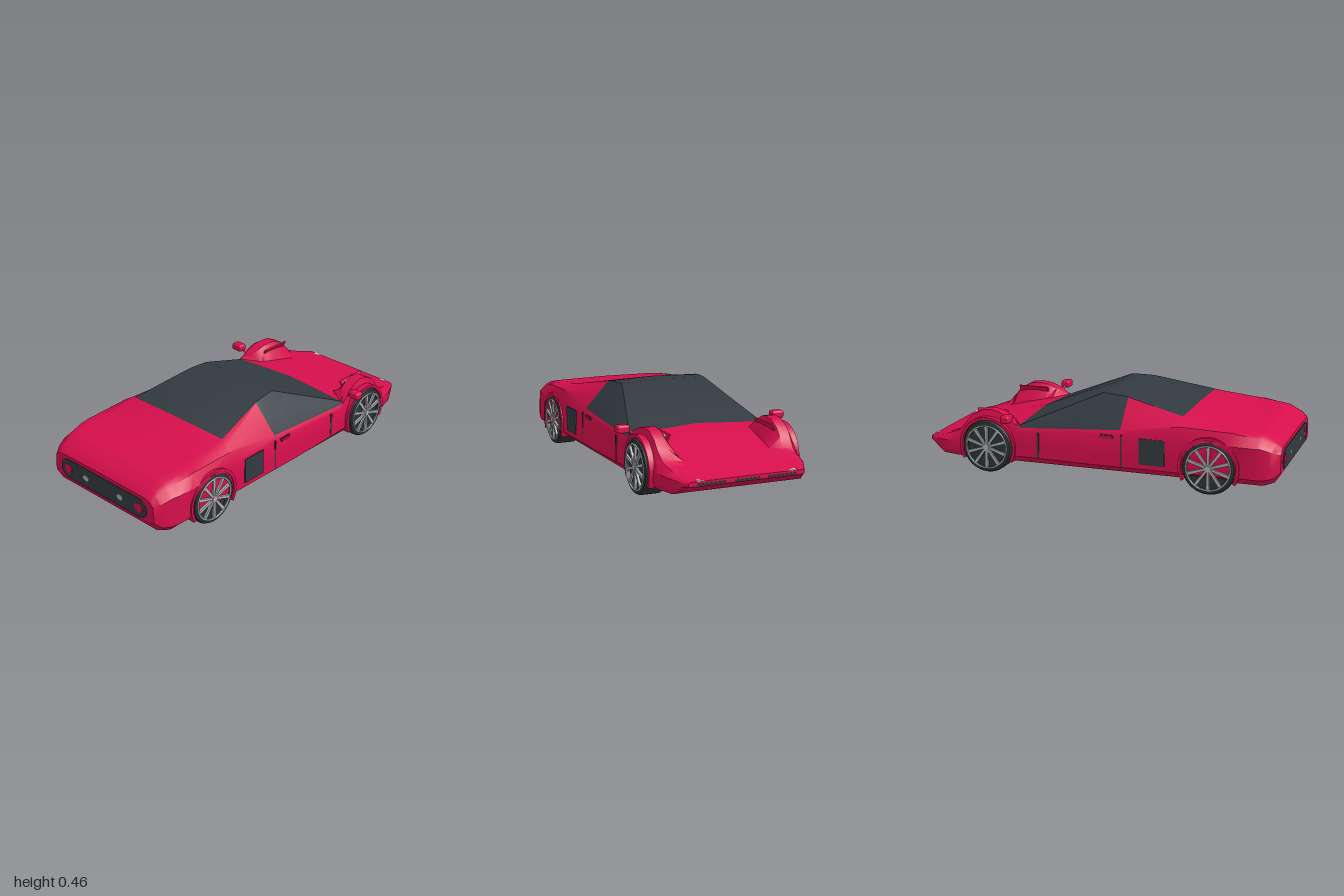
import * as THREE from 'three';
import { toCreasedNormals } from 'three/addons/utils/BufferGeometryUtils.js';
import { RoundedBoxGeometry } from 'three/addons/geometries/RoundedBoxGeometry.js';

const material = (name, color) => Object.assign(new THREE.MeshStandardMaterial({ color }), { name });
const paint = material('crimson paint', 0xd60f4c);
const glass = material('dark glass and trim', 0x323a40);
const rubber = material('tyre rubber', 0x2b3236);
const alloy = material('alloy', 0xa9adaf);
const lamp = material('lamp white', 0xf2f2f2);

// Lengthwise curves as [x, value]; the car points along +x
const curves = {
  bottomY: [[-1, .13], [-.97, .085], [-.92, .07], [.9, .07], [.95, .095], [1, .122]],
  bottomZ: [[-1, .35], [-.9, .39], [.8, .385], [.9, .36], [1, .31]],
  waistZ: [[-1, .375], [-.95, .41], [-.88, .427], [-.8, .425], [0, .425], [.4, .412], [.5, .405], [.8, .403], [.88, .385], [.97, .338], [1, .32]],
  waistY: [[-1, .17], [.8, .16], [1, .136]],
  shoulderZ: [[-1, .37], [-.95, .405], [-.88, .43], [-.8, .435], [-.5, .43], [-.15, .42], [.43, .408], [.6, .4], [.8, .39], [.9, .365], [1, .318]],
  shoulderY: [[-1, .235], [-.9, .27], [-.5, .28], [-.15, .27], [.43, .235], [.48, .24], [.6, .29], [.72, .26], [.8, .185], [.9, .16], [1, .142]],
  crestZ: [[-1, .35], [-.9, .38], [-.8, .4], [-.47, .405], [-.15, .405], [.43, .4], [.5, .39], [.6, .375], [.75, .375], [.85, .36], [1, .31]],
  crestY: [[-1, .255], [-.97, .285], [-.9, .31], [-.75, .335], [-.47, .345], [-.15, .3], [.43, .26], [.47, .287], [.5, .31], [.55, .333], [.6, .342], [.66, .335], [.72, .303], [.76, .255], [.8, .21], [.9, .172], [1, .146]],
  innerCrestZ: [[-1, .33], [-.9, .35], [-.47, .37], [-.15, .338], [0, .326], [.43, .393], [.5, .33], [.6, .315], [.75, .315], [.85, .3], [1, .28]],
  innerCrestY: [[-1, .262], [-.97, .29], [-.9, .325], [-.75, .345], [-.47, .366], [-.15, .375], [0, .373], [.43, .266], [.47, .29], [.5, .31], [.55, .333], [.6, .342], [.66, .335], [.72, .303], [.76, .255], [.8, .21], [.9, .173], [1, .147]],
  roofEdgeZ: [[-1, .28], [-.9, .3], [-.47, .33], [-.15, .27], [0, .25], [.43, .385], [.5, .27], [.8, .25], [1, .22]],
  roofEdgeY: [[-1, .265], [-.97, .295], [-.9, .328], [-.7, .352], [-.47, .383], [-.15, .447], [-.1, .453], [0, .455], [.43, .272], [.5, .268], [.65, .235], [.8, .198], [.9, .172], [1, .147]],
  centreY: [[-1, .268], [-.97, .298], [-.9, .332], [-.7, .355], [-.47, .387], [-.15, .455], [-.1, .465], [0, .463], [.43, .297], [.5, .28], [.65, .24], [.8, .2], [.9, .175], [1, .148]],
};

function at(points, x) {
  const i = Math.max(1, points.findIndex(p => p[0] >= x - 1e-6));
  const [a, b] = [points[i - 1], points[i]];
  return a[1] + (b[1] - a[1]) * (x - a[0]) / (b[0] - a[0]);
}

// Body shell: mirrored cross-sections joined along x, glazed over the cabin
function bodyGeometry() {
  const xs = [...new Set(Object.values(curves).flat().map(p => p[0]))].sort((a, b) => a - b);
  const position = [], painted = [], glazed = [], N = 16;
  for (const x of xs) {
    const c = Object.fromEntries(Object.entries(curves).map(([key, pts]) => [key, at(pts, x)]));
    const half = [
      [0, c.bottomY], [c.bottomZ, c.bottomY],
      [c.waistZ, c.bottomY + (c.waistY - c.bottomY) * .35], [c.waistZ, c.waistY],
      [c.shoulderZ, c.shoulderY], [c.crestZ, c.crestY], [c.innerCrestZ, c.innerCrestY],
      [c.roofEdgeZ, c.roofEdgeY], [0, c.centreY],
    ];
    const ring = [...half, ...half.slice(1, 8).reverse().map(([z, y]) => [-z, y])];
    for (const [z, y] of ring) position.push(x, y, z);
  }
  for (let i = 0; i < xs.length - 1; i++) {
    const mid = (xs[i] + xs[i + 1]) / 2;
    for (let j = 0; j < N; j++) {
      const strip = Math.min(j, N - 1 - j);
      const isGlass = mid < .43 && ((strip === 7 && mid > -.47) || (strip >= 5 && mid > -.15));
      const k = (j + 1) % N, a = i * N, b = a + N;
      (isGlass ? glazed : painted).push(a + j, b + j, b + k, a + j, b + k, a + k);
    }
  }
  const last = (xs.length - 1) * N;
  for (let j = 1; j < N - 1; j++) painted.push(0, j, j + 1, last, last + j + 1, last + j);
  const g = new THREE.BufferGeometry();
  g.setAttribute('position', new THREE.Float32BufferAttribute(position, 3));
  g.setIndex([...painted, ...glazed]);
  g.addGroup(0, painted.length, 0);
  g.addGroup(painted.length, glazed.length, 1);
  return toCreasedNormals(g, .55);
}

function add(parent, name, geometry, mat, x = 0, y = 0, z = 0) {
  const mesh = new THREE.Mesh(geometry, mat);
  mesh.name = name;
  mesh.position.set(x, y, z);
  parent.add(mesh);
  return mesh;
}
const box = (w, h, d) => new THREE.BoxGeometry(w, h, d);

// Flat ring sector extruded along z
function arcBand(inner, outer, start, end, depth) {
  const s = new THREE.Shape();
  s.absarc(0, 0, outer, start, end, false);
  s.absarc(0, 0, inner, end, start, true);
  return new THREE.ExtrudeGeometry(s, { depth, bevelEnabled: false, curveSegments: 32 });
}

// Wheel with its outer face at z = 0
function createWheel() {
  const wheel = new THREE.Group();
  const profile = [[0, -.125], [.13, -.125], [.143, -.112], [.143, -.016], [.137, -.004], [.128, 0], [.118, 0], [.116, -.02], [0, -.02]];
  const tyre = new THREE.LatheGeometry(profile.map(p => new THREE.Vector2(...p)), 40).rotateX(Math.PI / 2);
  add(wheel, 'tyre', toCreasedNormals(tyre, .6), rubber);
  add(wheel, 'rim', new THREE.TorusGeometry(.117, .005, 8, 40), alloy);
  add(wheel, 'hub', new THREE.CylinderGeometry(.018, .024, .026, 20).rotateX(Math.PI / 2), alloy, 0, 0, -.006);
  const s = new THREE.Shape([[.015, -.006], [.117, -.009], [.117, .009], [.015, .006]].map(p => new THREE.Vector2(...p)));
  const spoke = new THREE.ExtrudeGeometry(s, { depth: .012, bevelEnabled: false });
  for (let i = 0; i < 10; i++) {
    add(wheel, 'spoke', spoke, alloy, 0, 0, -.01).rotation.z = (i + .5) * Math.PI / 5;
  }
  return wheel;
}

export function createModel() {
  const car = new THREE.Group();
  car.name = 'sports car';
  add(car, 'body', bodyGeometry(), [paint, glass]);

  for (const side of [1, -1]) {
    // Wheels and arch lips
    for (const [x, label, lipZ] of [[-.635, 'rear', .434], [.61, 'front', .424]]) {
      const wheel = createWheel();
      wheel.name = label + 'Wheel';
      wheel.position.set(x, .145, side * .435);
      if (side < 0) wheel.rotation.y = Math.PI;
      car.add(wheel);
      add(car, label + 'ArchLip', arcBand(.147, .163, -.5, Math.PI + .5, .05), paint,
        x, .145, side > 0 ? lipZ - .05 : -lipZ);
    }

    // Side vent, door seams and handle
    add(car, 'sideVent', box(.14, .14, .009), glass, -.33, .2, side * .4255);
    add(car, 'rearDoorSeam', box(.008, .175, .008), glass, -.16, .19, side * .4215);
    add(car, 'frontDoorSeam', box(.012, .14, .008), glass, .315, .175, side * .4125);
    add(car, 'handleRecess', box(.076, .02, .008), glass, -.08, .262, side * .417);
    add(car, 'doorHandle', box(.066, .012, .014), paint, -.08, .262, side * .419);

    // Mirror on a short stalk
    add(car, 'mirror', new RoundedBoxGeometry(.052, .042, .07, 3, .012), paint, .48, .317, side * .447);
    const stalk = new THREE.LineCurve3(new THREE.Vector3(.48, .312, side * .43), new THREE.Vector3(.49, .285, side * .38));
    add(car, 'mirrorStalk', new THREE.TubeGeometry(stalk, 1, .007, 8), paint);

    // Headlight slit on the inner face of the front fender
    add(car, 'headlightRecess', box(.18, .045, .008), paint, .63, .303, side * .297).rotation.x = -side * .48;
    add(car, 'headlight', box(.12, .014, .009), lamp, .63, .307, side * .297).rotation.x = -side * .48;

    // Nose lamps and intakes
    const noseLamp = add(car, 'noseLamp', box(.018, .008, .045), lamp, .99, .147, side * .253);
    noseLamp.rotation.x = -side * .12;
    add(car, 'sideIntake', box(.008, .011, .16), glass, .998, .131, side * .195);

    // Tail lamps and exhausts
    const disc = r => new THREE.CylinderGeometry(r, r, .008, 24).rotateZ(Math.PI / 2);
    add(car, 'tailLamp', disc(.028), paint, -1.002, .192, side * .27);
    add(car, 'exhaust', disc(.022), alloy, -1.002, .192, side * .13).scale.y = .7;
  }
  add(car, 'centreIntake', box(.008, .011, .14), glass, .998, .13, 0);

  // Rear panel with rounded ends
  const panel = new THREE.Shape();
  panel.absarc(.27, 0, .055, -Math.PI / 2, Math.PI / 2, false);
  panel.absarc(-.27, 0, .055, Math.PI / 2, Math.PI * 1.5, false);
  const plate = new THREE.ExtrudeGeometry(panel, { depth: .006, bevelEnabled: false });
  add(car, 'rearPanel', plate, glass, -.998, .192, 0).rotation.y = -Math.PI / 2;
  return car;
}
